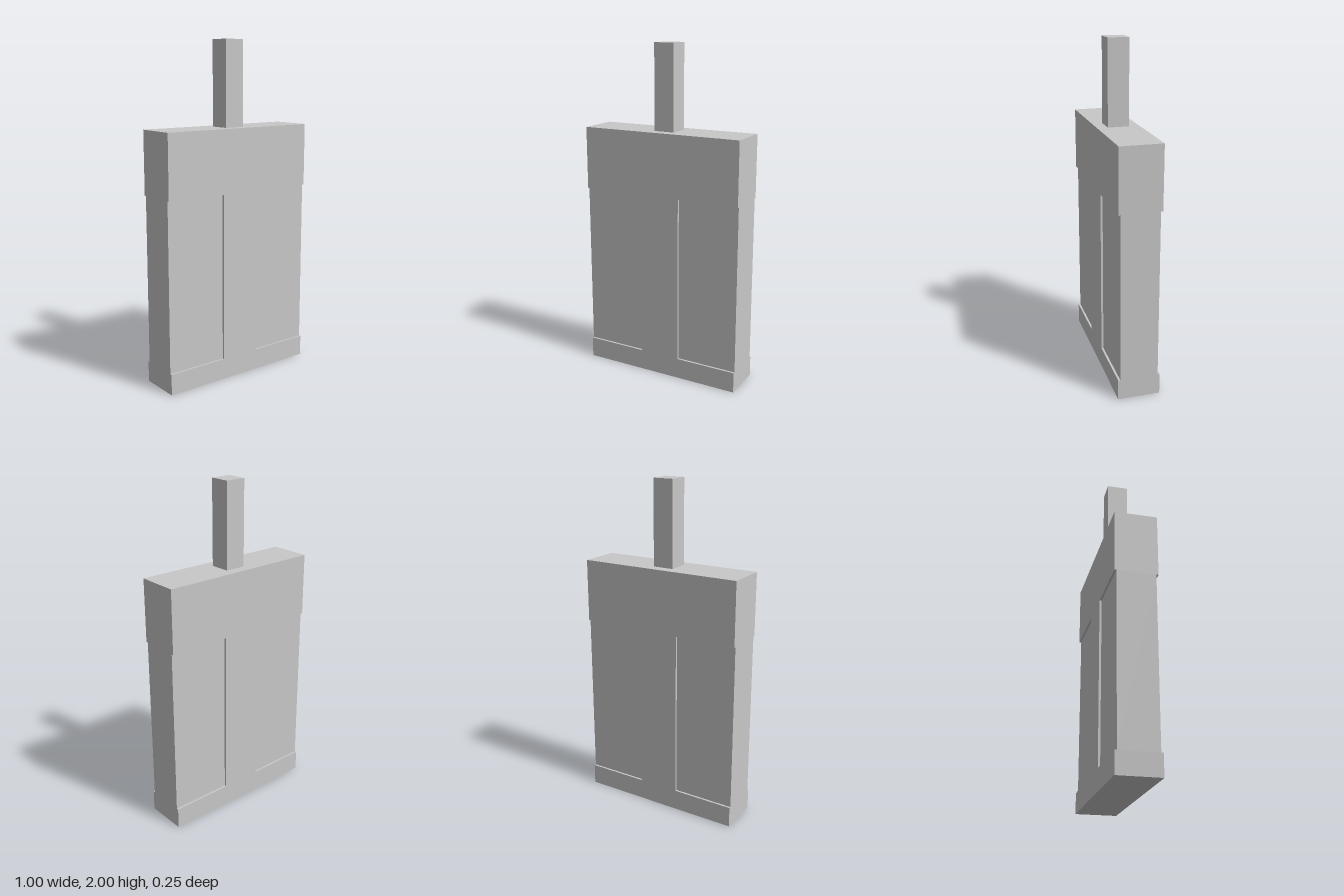
import * as THREE from 'three';

export function createModel() {
  const model = new THREE.Group();
  const grey = new THREE.MeshStandardMaterial({ color: 0xc8c8c8 });
  grey.name = 'light grey';

  const add = (name, geometry, x, y, z) => {
    const mesh = new THREE.Mesh(geometry, grey);
    mesh.name = name;
    mesh.position.set(x, y, z);
    model.add(mesh);
  };

  // Slab frame: wide head, narrow central web and low foot
  const half = [[0.5, 0], [0.5, 0.125], [0.125, 0.125], [0.125, 1.125], [0.5, 1.125], [0.5, 1.5]];
  const mirrored = half.map(([x, y]) => [-x, y]).reverse();
  const outline = new THREE.Shape([...half, ...mirrored].map(([x, y]) => new THREE.Vector2(x, y)));
  add('frame', new THREE.ExtrudeGeometry(outline, { depth: 0.25, bevelEnabled: false }), 0, 0, -0.125);

  // Side panels, slightly recessed on front and back
  for (const [name, side] of [['leftPanel', 1], ['rightPanel', -1]]) {
    add(name, new THREE.BoxGeometry(0.375, 1, 0.225), side * 0.3125, 0.625, 0);
  }

  // Square post on top
  add('post', new THREE.BoxGeometry(0.125, 0.5, 0.125), 0, 1.75, 0);

  return model;
}
